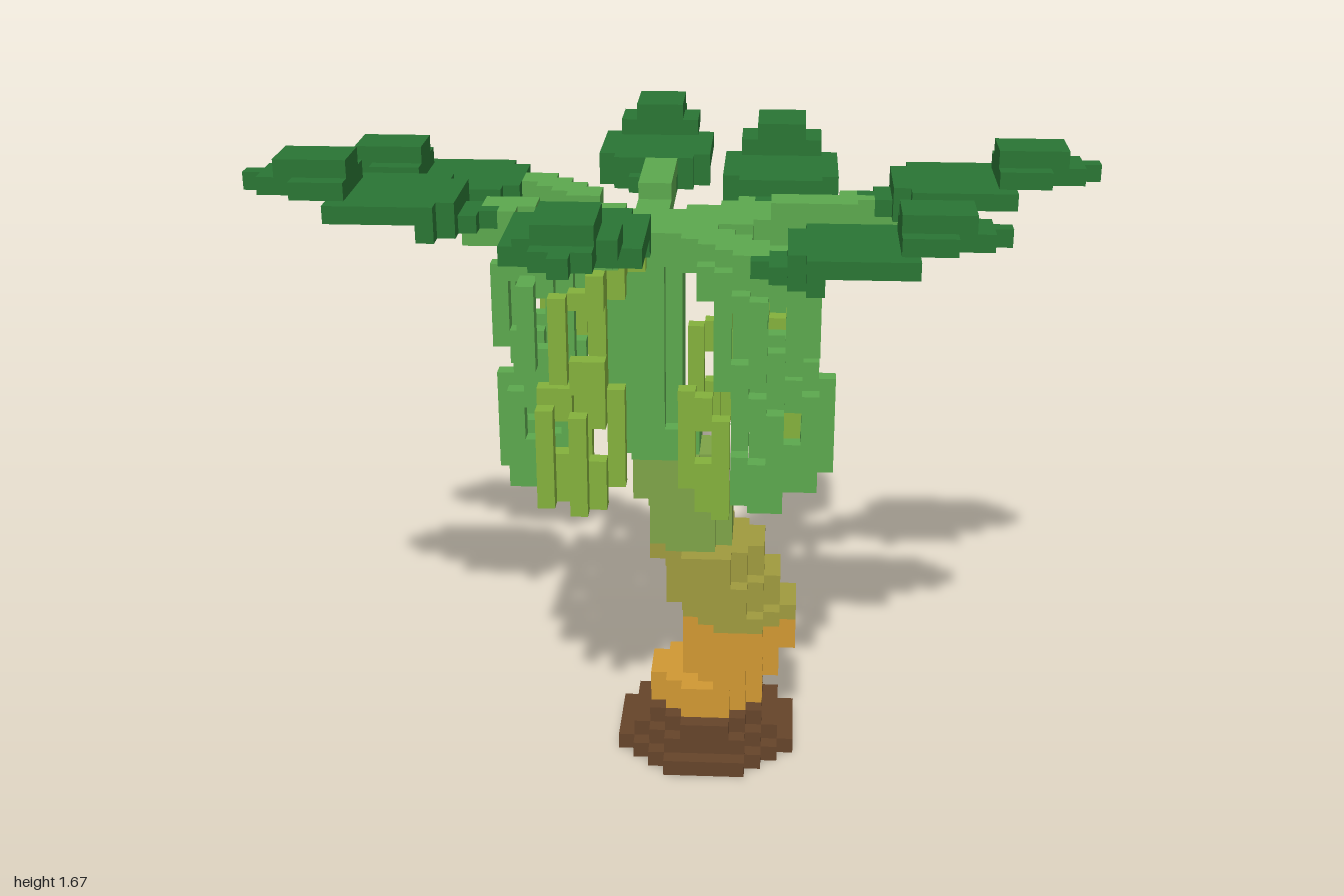
import * as THREE from 'three';

const V = 2 / 48; // edge of one cube
const SIZE = [48, 40, 46];

const mat = (name, color) => {
  const m = new THREE.MeshStandardMaterial({ color });
  m.name = name;
  return m;
};

export function createModel() {
  const M = {
    brown: mat('root brown', 0x65442a),
    orange: mat('bark orange', 0xd09833),
    olive: mat('bark olive', 0x9f9a3e),
    moss: mat('bark moss', 0x7ea348),
    green: mat('stem green', 0x5ca84e),
    lime: mat('fruit lime', 0x84b03c),
    leaf: mat('leaf green', 0x2a7534),
  };

  // Shared cube grid; the first part to claim a cell keeps it
  const cells = new Map();
  const put = (x, y, z, part, color) => {
    const p = [Math.round(x), Math.round(y), Math.round(z)];
    const key = p.join();
    if (!cells.has(key)) cells.set(key, { p, part, color });
  };

  // Horizontal slab with clipped corners
  const slab = (x0, x1, z0, z1, y, cut, part, color) => {
    for (let x = x0; x <= x1; x++) {
      for (let z = z0; z <= z1; z++) {
        const corner = Math.min(x - x0, x1 - x) + Math.min(z - z0, z1 - z);
        if (corner >= cut) put(x, y, z, part, color);
      }
    }
  };

  // Stepped root base
  slab(20, 30, 17, 27, 0, 3, 'rootBase', M.brown);
  slab(21, 29, 18, 26, 1, 2, 'rootBase', M.brown);
  slab(22, 28, 18, 26, 2, 2, 'rootBase', M.brown);

  // Leaning trunk: [first layer, last layer, x from, x to]
  const trunk = [
    [3, 4, 22, 28], [5, 6, 24, 29], [7, 9, 24, 30], [10, 11, 23, 29], [12, 12, 23, 28],
    [13, 13, 22, 28], [14, 16, 22, 26], [17, 19, 21, 25], [20, 21, 20, 24], [22, 33, 19, 23],
  ];
  for (const [y0, y1, x0, x1] of trunk) {
    for (let y = y0; y <= y1; y++) {
      const color = y < 9 ? M.orange : y < 14 ? M.olive : y < 20 ? M.moss : M.green;
      if (y < 14) slab(x0, x1, 19, 25, y, 2, 'trunk', color);
      else slab(x0, x1, 20, 24, y, 1, 'trunk', color);
    }
  }

  // Leaf: half widths from tip to base, in overlapping tiers that step down
  const halfWidths = [0, 1, 1, 2, 2, 3, 3, 3, 3, 3, 3, 2, 1, 0];
  const leaf = (part, axis, tip, dir, mid, top) => {
    halfWidths.forEach((hw, d) => {
      for (let w = -hw; w <= hw; w++) {
        const a = Math.abs(w);
        const along = tip + dir * d;
        const add = (y) => (axis === 'x'
          ? put(along, y, mid + w, part, M.leaf)
          : put(mid + w, y, along, part, M.leaf));
        if (d > 1 && d < 6 && a < 2) add(top + 1); // tip ridge
        if (d < 6 && a < 3) add(top); // tip plate
        if (d > 4 && d < 12) add(top - 1); // main plate
        if (d > 9) add(top - 2); // base plate
      }
    });
  };

  // Stalk: a two-cube-thick line
  const stalk = (part, a, b) => {
    const n = 24;
    for (let i = 0; i <= n; i++) {
      const p = a.map((v, k) => Math.round(v + (b[k] - v) * i / n));
      for (let c = 0; c < 8; c++) {
        put(p[0] + (c & 1), p[1] - (c >> 1 & 1), p[2] + (c >> 2), part, M.green);
      }
    }
  };

  // [name, axis, tip, direction to base, middle, height, stalk start, stalk end]
  const fronds = [
    ['back', 'z', 0, 1, 21, 35, [21, 33, 19], [21, 34, 12]],
    ['backLeft', 'z', 5, 1, 29, 35, [23, 33, 20], [28, 33, 17]],
    ['left', 'x', 47, -1, 19, 36, [23, 33, 21], [35, 34, 19]],
    ['frontLeft', 'x', 41, -1, 29, 35, [23, 33, 23], [29, 33, 28]],
    ['front', 'z', 45, -1, 19, 38, [19, 34, 24], [19, 36, 33]],
    ['frontRight', 'x', 0, 1, 27, 37, [19, 33, 23], [12, 35, 26]],
    ['backRight', 'x', 2, 1, 16, 35, [19, 33, 21], [14, 34, 16]],
  ];
  for (const [name, axis, tip, dir, mid, top, from, to] of fronds) {
    leaf(name + 'Leaf', axis, tip, dir, mid, top);
    stalk(name + 'Stalk', from, to);
  }

  // Thin curved fruit pairs: [radius, height from, height to]
  const upper = [[0.28, 32, 32], [0.42, 32, 32], [0.56, 31, 32], [0.66, 26, 32],
    [0.76, 31, 32], [0.76, 26, 27], [0.88, 31, 31], [0.88, 26, 27], [1, 27, 31]];
  const lower = [[0.66, 20, 25], [0.76, 24, 25], [0.76, 19, 21],
    [0.88, 24, 25], [0.88, 19, 21], [1, 19, 24]];
  // angles from the model's left, and which of them are ripening
  const tiers = [
    ['upperFruit', upper, [14, -14, 36, -36, 56, -56, 122, -122, 146, -146, 172, -172],
      [-14, -56, 122, -122, -146]],
    ['lowerFruit', lower, [0, 24, -24, 46, -46, 70, -70, 115, -115, 136, -136, 158, -158, 180],
      [-24, 70, -70, 115, 136, -136]],
  ];
  for (const [part, profile, angles, ripe] of tiers) {
    for (const deg of angles) {
      const color = ripe.includes(deg) ? M.lime : M.green;
      const t = deg * Math.PI / 180;
      const dz = THREE.MathUtils.clamp(Math.sin(t) * 9.5, -7.9, 7.9);
      for (const [r, y0, y1] of profile) {
        for (let y = y0; y <= y1; y++) {
          put(22.3 + Math.cos(t) * 9.4 * r, y, 22.5 + dz * r, part, color);
        }
      }
    }
  }

  // Collect the exposed cube faces of each part and colour
  const batches = new Map();
  for (const { p, part, color } of cells.values()) {
    const id = part + color.name;
    if (!batches.has(id)) batches.set(id, { part, color, pos: [] });
    const { pos } = batches.get(id);
    for (let a = 0; a < 3; a++) {
      for (const s of [1, -1]) {
        const next = p.slice();
        next[a] += s;
        if (cells.has(next.join())) continue;
        const quad = [[0, 0], [1, 0], [1, 1], [0, 1]].map(([u, w]) => {
          const c = p.slice();
          c[a] += s > 0 ? 1 : 0;
          c[(a + 1) % 3] += u;
          c[(a + 2) % 3] += w;
          return [(c[0] - SIZE[0] / 2) * V, c[1] * V, (c[2] - SIZE[2] / 2) * V];
        });
        if (s < 0) quad.reverse();
        for (const k of [0, 1, 2, 0, 2, 3]) pos.push(...quad[k]);
      }
    }
  }

  const model = new THREE.Group();
  model.name = 'fruitTree';
  for (const { part, color, pos } of batches.values()) {
    const g = new THREE.BufferGeometry();
    g.setAttribute('position', new THREE.Float32BufferAttribute(pos, 3));
    g.computeVertexNormals();
    const mesh = new THREE.Mesh(g, color);
    mesh.name = part;
    model.add(mesh);
  }
  return model;
}
